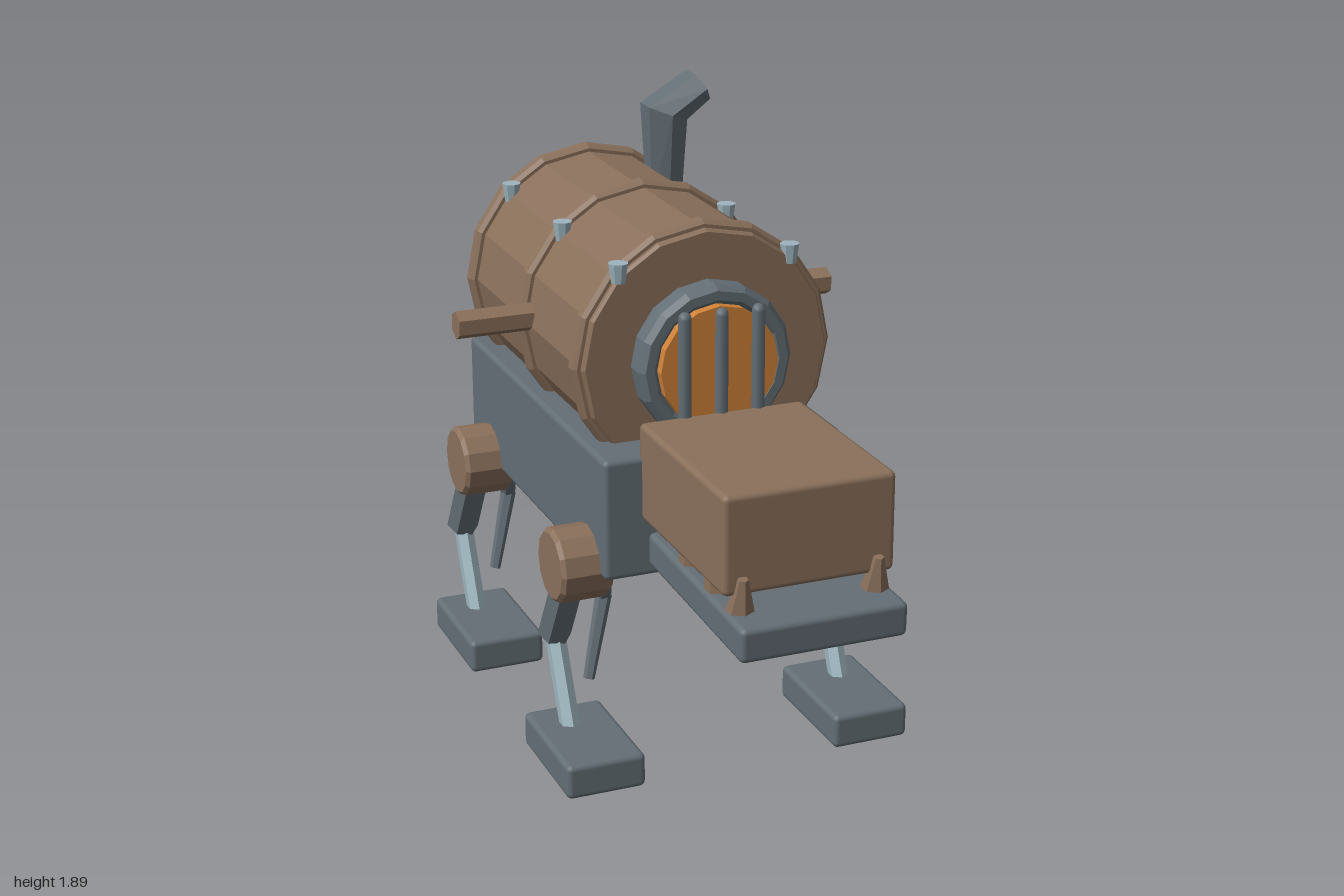
import * as THREE from 'three';
import { toCreasedNormals } from 'three/addons/utils/BufferGeometryUtils.js';
import { RoundedBoxGeometry } from 'three/addons/geometries/RoundedBoxGeometry.js';

const V = (x, y, z) => new THREE.Vector3(x, y, z);

function material(name, color) {
  const m = new THREE.MeshStandardMaterial({ color });
  m.name = name;
  return m;
}

export function createModel() {
  const brown = material('brown', 0x8a705b);
  const grey = material('slate grey', 0x636e75);
  const steel = material('pale steel', 0x9db4be);
  const orange = material('ember orange', 0xd08238);

  const model = new THREE.Group();
  model.name = 'walkingFurnace';
  const body = new THREE.Group();
  body.name = 'body';
  body.rotation.y = 0.014;
  model.add(body);

  function add(name, geometry, mat, x = 0, y = 0, z = 0, parent = body) {
    const mesh = new THREE.Mesh(geometry, mat);
    mesh.name = name;
    mesh.position.set(x, y, z);
    parent.add(mesh);
    return mesh;
  }
  const flat = (g) => toCreasedNormals(g, 0.05);
  const box = (w, h, d, r = 0.018) => new RoundedBoxGeometry(w, h, d, 2, r);

  // Faceted shape turned about the z axis, from [radius, z] pairs
  const turnedZ = (profile, sides) => flat(new THREE.LatheGeometry(
    profile.map(([r, z]) => new THREE.Vector2(r, z)), sides).rotateX(Math.PI / 2));

  // Faceted bar between two points
  function strut(name, a, b, r0, r1, sides, mat, parent) {
    const dir = b.clone().sub(a);
    const g = flat(new THREE.CylinderGeometry(r1, r0, dir.length(), sides));
    const mid = a.clone().add(b).multiplyScalar(0.5);
    const mesh = add(name, g, mat, mid.x, mid.y, mid.z, parent);
    mesh.quaternion.setFromUnitVectors(V(0, 1, 0), dir.normalize());
    return mesh;
  }

  // Chassis
  add('chassis', box(0.765, 0.38, 1.28), grey, 0, 0.81, -0.36);

  // Barrel with three hoops
  const axisY = 1.235;
  add('barrel', turnedZ([[0, -0.93], [0.385, -0.93], [0.392, -0.92],
    [0.392, 0.13], [0.385, 0.14], [0, 0.14]], 16), brown, 0, axisY, 0);
  for (const z of [0.09, -0.395, -0.89]) {
    add('hoop', turnedZ([[0.385, -0.028], [0.403, -0.028], [0.415, -0.015],
      [0.415, 0.015], [0.403, 0.028], [0.385, 0.028]], 16), brown, 0, axisY, z);
  }

  // Bolts on the hoops
  for (const z of [0.125, -0.357, -0.848]) {
    for (const s of [-1, 1]) {
      add('bolt', flat(new THREE.CylinderGeometry(0.031, 0.022, 0.06, 8)), steel, s * 0.273, 1.522, z);
    }
  }

  // Side handles
  for (const s of [-1, 1]) {
    strut('handle', V(s * 0.38, 1.26, -0.355), V(s * 0.625, 1.26, -0.355), 0.045, 0.045, 6, brown)
      .rotateY(Math.PI / 2);
  }

  // Furnace door: rim, glowing plate and bars
  add('doorRim', turnedZ([[0.24, 0.13], [0.244, 0.15], [0.244, 0.205], [0.228, 0.225],
    [0.2, 0.225], [0.185, 0.21]], 16), grey, 0, axisY, 0);
  add('glow', turnedZ([[0.187, 0.2], [0.187, 0.243], [0, 0.243]], 16), orange, 0, axisY, 0);
  for (const x of [-0.117, 0, 0.117]) {
    add('grateBar', new THREE.CapsuleGeometry(0.021, 0.33, 3, 8), grey, x, axisY, 0.255);
  }

  // Front hopper on its tray
  add('hopper', box(0.525, 0.3, 0.64), brown, 0, 0.95, 0.57);
  add('tray', box(0.51, 0.105, 0.7), grey, 0, 0.708, 0.65).rotation.x = 0.035;
  for (const s of [-1, 1]) {
    strut('cornerPeg', V(s * 0.207, 0.74, 0.875), V(s * 0.207, 0.855, 0.9), 0.045, 0.015, 6, brown);
    for (const z of [0.73, 0.54]) {
      add('peg', flat(new THREE.CylinderGeometry(0.04, 0.045, 0.1, 6)), brown, s * 0.207, 0.78, z);
    }
  }

  // Bent chimney: hexagonal sections joined along a path
  const sections = [
    { c: V(0.215, 1.48, -0.74), u: V(0.052, 0, 0), w: 0.05 },
    { c: V(0.215, 1.77, -0.74), u: V(0.066, -0.025, 0), w: 0.08 },
    { c: V(0.335, 1.848, -0.74), u: V(0.026, -0.042, 0), w: 0.08 },
  ];
  const pos = [], idx = [];
  sections.forEach(({ c, u, w }, i) => {
    for (let k = 0; k < 6; k++) {
      const a = k * Math.PI / 3;
      // Flat sides up and down, corners pointing along z
      const p = c.clone().addScaledVector(u, Math.sin(a) / 0.866);
      pos.push(p.x, p.y, p.z + w * Math.cos(a));
      if (i > 0) {
        const n = (k + 1) % 6, lo = (i - 1) * 6, hi = i * 6;
        idx.push(lo + k, lo + n, hi + n, lo + k, hi + n, hi + k);
      }
    }
  });
  for (let k = 1; k < 5; k++) idx.push(12, 12 + k, 13 + k);
  const pipe = new THREE.BufferGeometry();
  pipe.setAttribute('position', new THREE.Float32BufferAttribute(pos, 3));
  pipe.setIndex(idx);
  add('chimney', flat(pipe), grey);

  // Four legs; the side rods lean the same way on both sides
  const hipShape = flat(new THREE.LatheGeometry([[0, -0.083], [0.105, -0.083], [0.117, -0.07],
    [0.117, 0.07], [0.105, 0.083], [0, 0.083]].map(([r, y]) => new THREE.Vector2(r, y)), 12)
    .rotateZ(Math.PI / 2));
  for (const [end, dz] of [['front', 0], ['rear', -0.935]]) {
    for (const s of [-1, 1]) {
      const leg = new THREE.Group();
      leg.name = end + (s > 0 ? 'LeftLeg' : 'RightLeg');
      leg.position.z = dz;
      body.add(leg);
      add('hip', hipShape, brown, s * 0.42, 0.635, 0.13, leg);
      strut('upperLeg', V(s * 0.435, 0.62, 0.135), V(s * 0.457, 0.36, 0.025), 0.053, 0.053, 6, grey, leg);
      strut('lowerLeg', V(s * 0.457, 0.4, 0.012), V(s * 0.455, 0.09, 0.155), 0.032, 0.032, 6, steel, leg);
      add('foot', box(0.25, 0.11, 0.405), grey, s * 0.437, 0.055, 0.225, leg);
      const rod = s > 0
        ? [V(0.53, 0.665, 0.125), V(0.568, 0.435, -0.035), V(0.5, 0.18, 0.015)]
        : [V(-0.325, 0.665, 0.125), V(-0.272, 0.435, -0.035), V(-0.343, 0.18, 0.015)];
      strut('rodUpper', rod[0], rod[1], 0.02, 0.026, 6, grey, leg);
      strut('rodLower', rod[1], rod[2], 0.026, 0.018, 6, grey, leg);
    }
  }
  return model;
}
